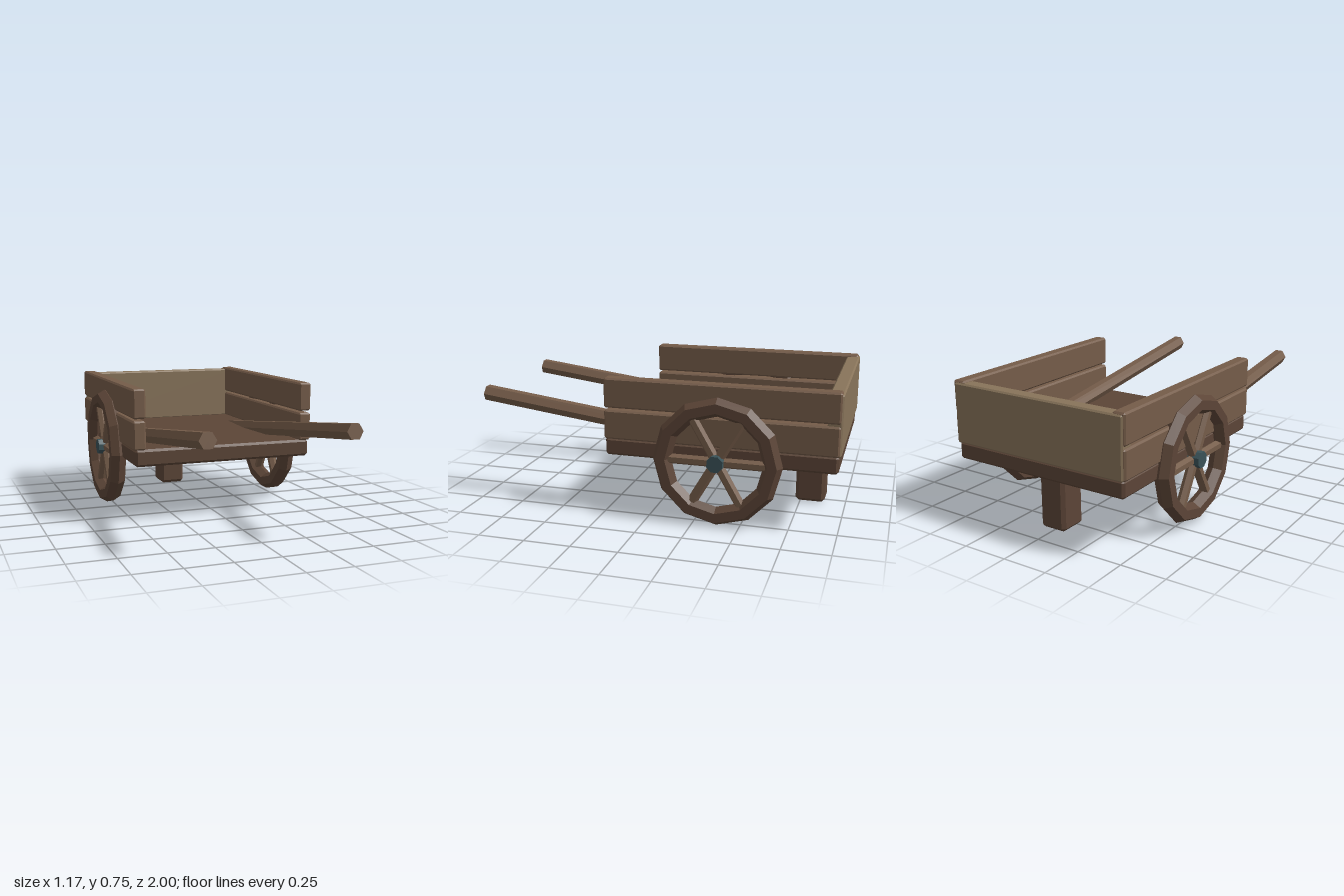
import * as THREE from 'three';
import { ConvexGeometry } from 'three/addons/geometries/ConvexGeometry.js';

const paint = (color) => new THREE.MeshStandardMaterial({ color, flatShading: true });
const darkWood = paint(0x5c4537);
const plankWood = paint(0x755c49);
const paleWood = paint(0x88745a);
const iron = paint(0x3a5258);

function add(parent, name, geometry, material) {
  const mesh = new THREE.Mesh(geometry, material);
  mesh.name = name;
  parent.add(mesh);
  return mesh;
}

// Box with chamfered edges, given by its minimum and maximum corners
function chamferBox(min, max, bevel) {
  const half = min.map((v, i) => (max[i] - v) / 2);
  const points = [];
  for (const sx of [-1, 1]) for (const sy of [-1, 1]) for (const sz of [-1, 1]) {
    for (let axis = 0; axis < 3; axis++) {
      const h = half.map((v, i) => (i === axis ? v : v - bevel));
      points.push(new THREE.Vector3(sx * h[0], sy * h[1], sz * h[2]));
    }
  }
  return new ConvexGeometry(points).translate(
    min[0] + half[0], min[1] + half[1], min[2] + half[2]);
}

// Six-sided bar between two points
function addBar(parent, name, from, to, radius, material) {
  const direction = to.clone().sub(from);
  const geometry = new THREE.CylinderGeometry(radius, radius, direction.length(), 6);
  geometry.rotateY(Math.PI / 6);
  const bar = add(parent, name, geometry, material);
  bar.position.copy(from).add(to).multiplyScalar(0.5);
  bar.quaternion.setFromUnitVectors(new THREE.Vector3(0, 1, 0), direction.normalize());
  return bar;
}

// Twelve-sided rim with six spokes, built facing z and turned to face x
function createWheel() {
  const wheel = new THREE.Group();
  add(wheel, 'rim', new THREE.TorusGeometry(0.293, 0.05, 6, 12), darkWood);
  for (let i = 0; i < 6; i++) {
    const a = (i * Math.PI) / 3;
    addBar(wheel, 'spoke', new THREE.Vector3(),
      new THREE.Vector3(Math.cos(a), Math.sin(a), 0).multiplyScalar(0.265), 0.027, plankWood);
  }
  wheel.rotation.y = Math.PI / 2;
  return wheel;
}

export function createModel() {
  const cart = new THREE.Group();
  cart.name = 'handCart';

  // Bed, tailboard and rear prop
  add(cart, 'floor', chamferBox([-0.515, 0.325, -0.99], [0.515, 0.42, 0.238], 0.013), darkWood);
  add(cart, 'backPanel', chamferBox([-0.515, 0.415, -1], [0.515, 0.737, -0.925], 0.008), paleWood);
  add(cart, 'propLeg', chamferBox([-0.077, 0.005, -0.887], [0.077, 0.335, -0.725], 0.018), darkWood);

  // Axle running through both hubs
  const axle = add(cart, 'axle', new THREE.CylinderGeometry(0.045, 0.045, 1.166, 8), iron);
  axle.geometry.rotateY(Math.PI / 8);
  axle.rotation.z = Math.PI / 2;
  axle.position.set(0, 0.345, -0.375);

  for (const side of [-1, 1]) {
    const label = side > 0 ? 'left' : 'right';

    // Two planks on each side
    for (const [name, low, high] of [['LowerPlank', 0.417, 0.575], ['UpperPlank', 0.587, 0.747]]) {
      const x = side * 0.49;
      add(cart, label + name,
        chamferBox([x - 0.036, low, -0.992], [x + 0.036, high, 0.24], 0.009), plankWood);
    }

    const wheel = createWheel();
    wheel.name = label + 'Wheel';
    wheel.position.set(side * 0.532, 0.343, -0.375);
    cart.add(wheel);

    // Handle rising out of the floor toward the front
    const handle = addBar(cart, label + 'Handle', new THREE.Vector3(side * 0.38, 0.379, -0.63),
      new THREE.Vector3(side * 0.38, 0.586, 0.995), 0.045, plankWood);
    handle.rotateY(Math.PI / 6 * 2);
  }
  return cart;
}
